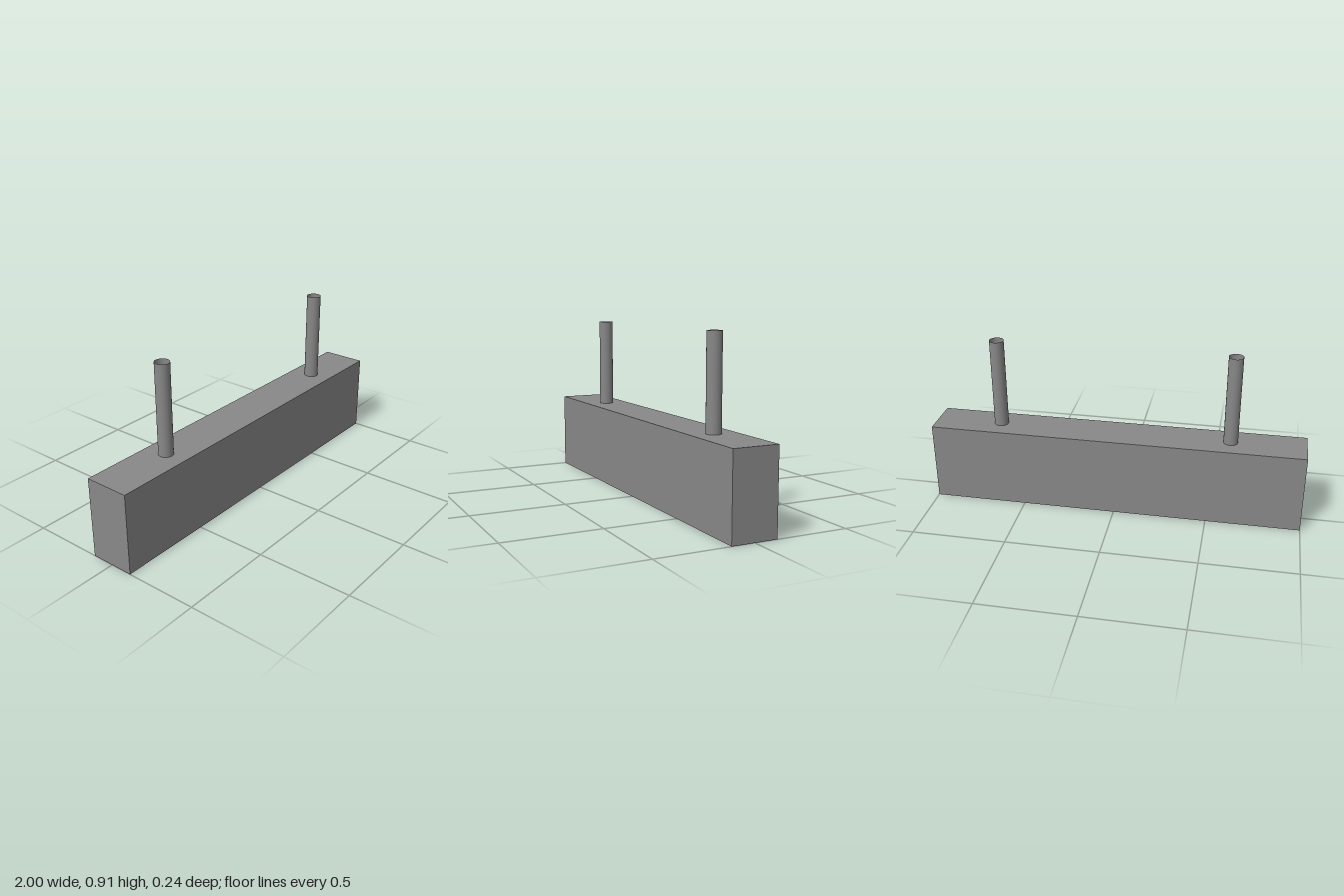
import * as THREE from 'three';

export function createModel() {
  const model = new THREE.Group();
  model.name = 'hangingBeam';
  const grey = new THREE.MeshStandardMaterial({ color: 0x888888, side: THREE.DoubleSide });
  grey.name = 'mid grey';

  const beamHeight = 0.428;
  const totalHeight = 0.91;

  // Long rectangular beam
  const beam = new THREE.Mesh(new THREE.BoxGeometry(2, beamHeight, 0.238), grey);
  beam.name = 'beam';
  beam.position.y = beamHeight / 2;
  model.add(beam);

  // Two hollow, open-ended tubes standing on the beam
  const tubeLength = totalHeight - beamHeight;
  const tubeGeometry = new THREE.CylinderGeometry(0.038, 0.038, tubeLength, 32, 1, true);
  for (const [name, x] of [['rightTube', -0.604], ['leftTube', 0.641]]) {
    const tube = new THREE.Mesh(tubeGeometry, grey);
    tube.name = name;
    tube.position.set(x, beamHeight + tubeLength / 2, 0);
    model.add(tube);
  }

  return model;
}
